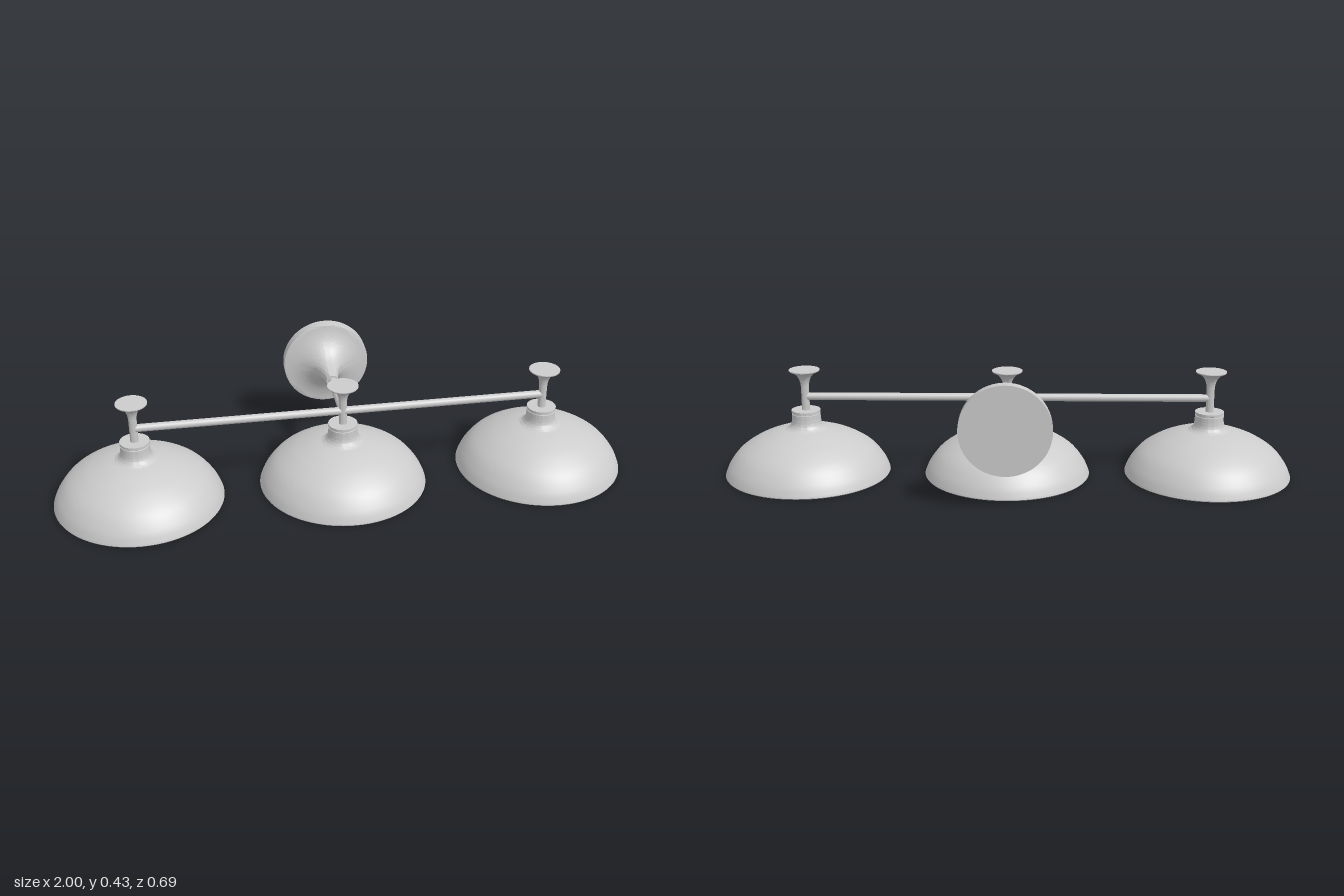
import * as THREE from 'three';
import { toCreasedNormals } from 'three/addons/utils/BufferGeometryUtils.js';

const material = new THREE.MeshStandardMaterial({ color: 0xcccccc });
const SHADE_X = 0.709, SHADE_Z = 0.053, ARM_Y = 0.279;

const v2 = (pairs) => pairs.map(([r, y]) => new THREE.Vector2(r, y));
const curve = (pairs, n) => new THREE.SplineCurve(v2(pairs)).getPoints(n);

function part(name, geometry, x = 0, y = 0, z = 0) {
  const mesh = new THREE.Mesh(geometry, material);
  mesh.name = name;
  mesh.position.set(x, y, z);
  return mesh;
}

// Turned part: smooth along curves, sharp at real corners
const turned = (points, segments = 64) =>
  toCreasedNormals(new THREE.LatheGeometry(points, segments), 0.6);

// Bell profile from the rim up to the neck
const bell = [[0.29, 0.008], [0.274, 0.043], [0.238, 0.088], [0.183, 0.125], [0.13, 0.148],
  [0.095, 0.159], [0.068, 0.166], [0.055, 0.179], [0.051, 0.195], [0.05, 0.218]];

function createLamp(x) {
  const lamp = new THREE.Group();
  lamp.name = 'lamp';
  lamp.position.set(x, 0, SHADE_Z);

  // Shade: outer skin, grooved neck ring, closed top, inner skin
  const inner = bell.slice(0, 7).map(([r, y]) => [r - 0.008, y - 0.006]);
  inner[0][1] = 0.003;
  const shade = [
    ...v2([[0.284, 0], [0.289, 0.001], [0.291, 0.004]]),
    ...curve(bell, 44),
    ...v2([[0.048, 0.219], [0.048, 0.222], [0.0505, 0.223], [0.0505, 0.231], [0, 0.231]]),
    ...v2([[0, 0.16], [0.055, 0.16]]),
    ...curve(inner.reverse(), 30),
    ...v2([[0.284, 0]]),
  ];
  lamp.add(part('shade', turned(shade, 80)));

  // Bulb socket: wide collar, narrow sleeve with an open end
  const socket = v2([[0, 0.105], [0.022, 0.105], [0.022, 0.072], [0.025, 0.07], [0.036, 0.07],
    [0.038, 0.073], [0.038, 0.125], [0.056, 0.13], [0.058, 0.134], [0.058, 0.164]]);
  lamp.add(part('socket', turned(socket, 40)));

  // Stem with a flared cap
  const stem = [
    ...v2([[0.014, 0.225]]),
    ...curve([[0.014, 0.31], [0.0155, 0.327], [0.021, 0.345], [0.031, 0.359], [0.043, 0.367], [0.052, 0.371]], 20),
    ...v2([[0.0535, 0.373], [0.0535, 0.376], [0, 0.376]]),
  ];
  lamp.add(part('stem', turned(stem, 40)));
  return lamp;
}

function createWallMount() {
  const mount = new THREE.Group();
  mount.name = 'wallMount';

  // Trumpet flange and round back plate, turned about z
  const flange = [
    ...v2([[0, -0.342], [0.1535, -0.342], [0.1535, -0.307]]),
    ...curve([[0.152, -0.306], [0.128, -0.302], [0.1, -0.293], [0.075, -0.279], [0.053, -0.259],
      [0.037, -0.233], [0.027, -0.2], [0.021, -0.163]], 32),
    ...v2([[0, -0.163]]),
  ];
  mount.add(part('backPlate', turned(flange).rotateX(Math.PI / 2), 0, ARM_Y));

  // Set screws in the plate's edge
  for (const side of [-1, 1]) {
    const dir = new THREE.Vector3(side * 0.132, -0.078, 0).normalize();
    const screw = part('setScrew', new THREE.CylinderGeometry(0.007, 0.008, 0.006, 16));
    screw.quaternion.setFromUnitVectors(new THREE.Vector3(0, 1, 0), dir);
    screw.position.copy(dir).multiplyScalar(0.1525).add(new THREE.Vector3(0, ARM_Y, -0.324));
    mount.add(screw);
  }

  // Arm from the flange to the middle stem
  const length = SHADE_Z + 0.18;
  const arm = new THREE.CylinderGeometry(0.0147, 0.0147, length, 32).rotateX(Math.PI / 2);
  mount.add(part('arm', arm, 0, ARM_Y, SHADE_Z - length / 2));
  return mount;
}

export function createModel() {
  const model = new THREE.Group();
  model.name = 'threeLightWallLamp';

  for (const i of [-1, 0, 1]) model.add(createLamp(i * SHADE_X));

  // Cross bar joining the three stems
  const bar = new THREE.CylinderGeometry(0.0135, 0.0135, SHADE_X * 2, 32).rotateZ(Math.PI / 2);
  model.add(part('crossBar', bar, 0, ARM_Y, SHADE_Z));

  model.add(createWallMount());
  return model;
}
